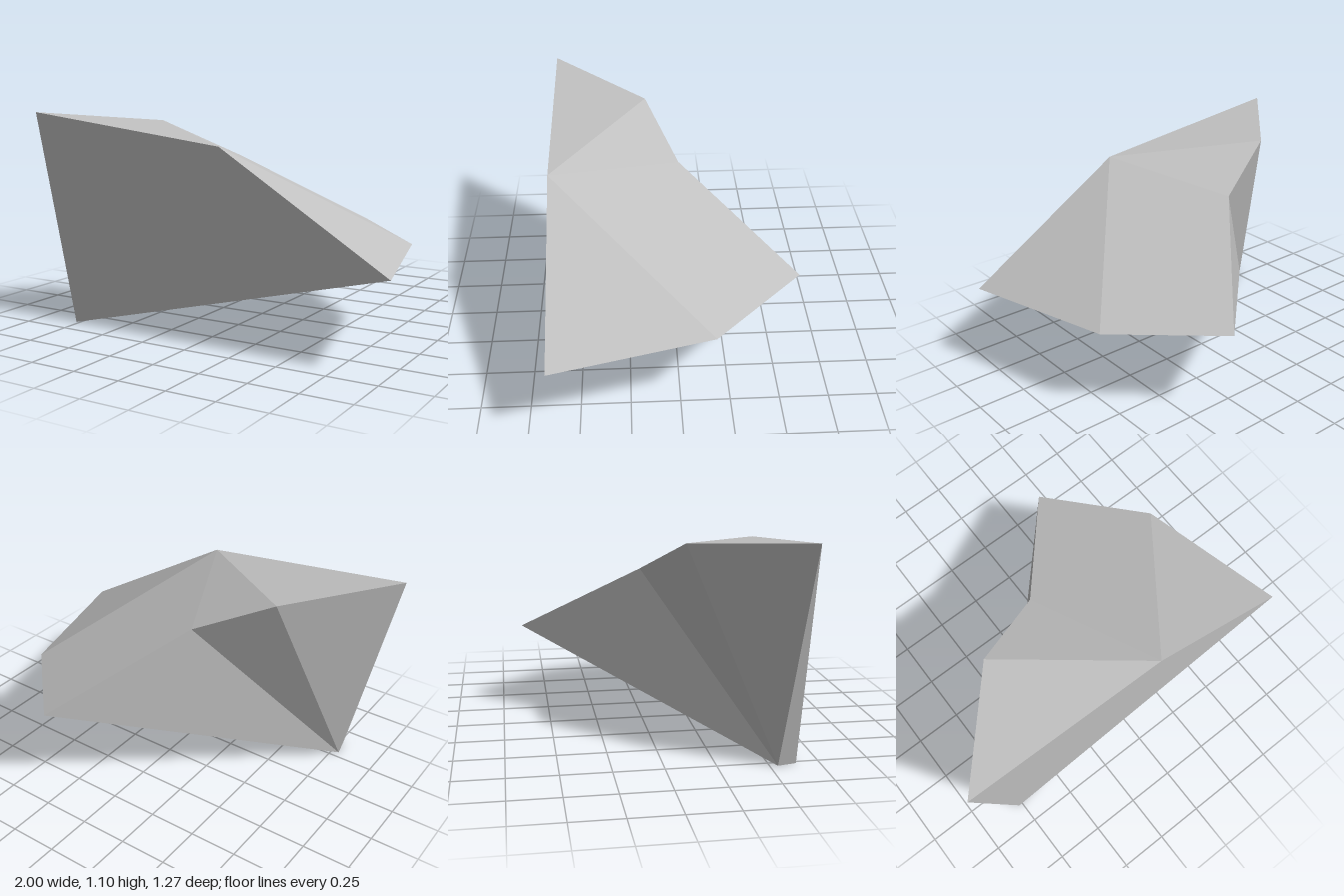
import * as THREE from 'three';

export function createModel() {
  const group = new THREE.Group();
  group.name = 'rock';

  // Corners of the faceted rock
  const corners = {
    frontTopRight: [-1, 1.1, 0.635],
    frontTopMid: [0.13, 0.97, 0.635],
    frontLeftTip: [1, 0.435, 0.635],
    frontFoot: [-0.77, 0, 0.635],
    ridgeHigh: [-0.55, 1.045, 0.13],
    ridgeLow: [-0.16, 0.86, -0.035],
    backTip: [0.34, 0.46, -0.635],
    sideTip: [0.79, 0.435, -0.17],
    backFoot: [-0.79, 0, 0.54],
  };

  // Flat facets, counter-clockwise from outside
  const facets = [
    ['frontFoot', 'frontLeftTip', 'frontTopMid', 'frontTopRight'], // front
    ['frontTopRight', 'frontTopMid', 'ridgeHigh'], // top
    ['ridgeHigh', 'frontTopMid', 'ridgeLow'],
    ['ridgeLow', 'frontTopMid', 'sideTip', 'backTip'], // slope
    ['frontTopMid', 'frontLeftTip', 'sideTip'],
    ['frontLeftTip', 'frontFoot', 'backFoot', 'sideTip'], // underside
    ['sideTip', 'backFoot', 'backTip'],
    ['ridgeLow', 'backTip', 'backFoot'], // back
    ['ridgeHigh', 'ridgeLow', 'backFoot'],
    ['frontTopRight', 'ridgeHigh', 'backFoot'],
    ['frontTopRight', 'backFoot', 'frontFoot'], // narrow side
  ];

  // Fan each facet into triangles with its own corners for crisp edges
  const positions = [];
  for (const f of facets) {
    for (let i = 1; i < f.length - 1; i++) {
      positions.push(...corners[f[0]], ...corners[f[i]], ...corners[f[i + 1]]);
    }
  }
  const geometry = new THREE.BufferGeometry();
  geometry.setAttribute('position', new THREE.Float32BufferAttribute(positions, 3));
  geometry.computeVertexNormals();

  const stone = new THREE.MeshStandardMaterial({ color: 0xc0c0c0 });
  stone.name = 'stone grey';

  const body = new THREE.Mesh(geometry, stone);
  body.name = 'rockBody';
  group.add(body);
  return group;
}
